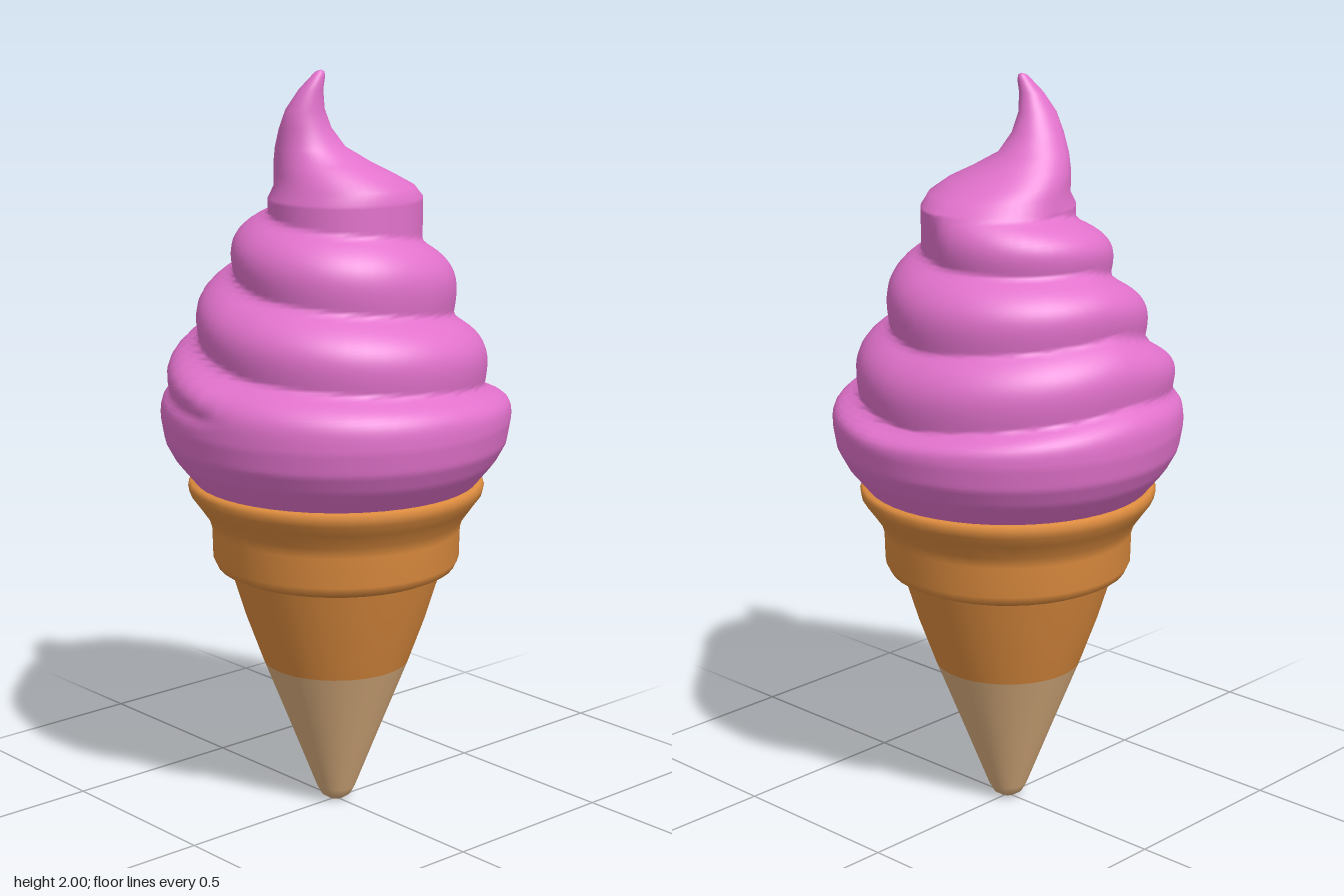
import * as THREE from 'three';

const orange = new THREE.MeshStandardMaterial({ color: 0xdc8b3e });
orange.name = 'wafer orange';
const tan = new THREE.MeshStandardMaterial({ color: 0xdaae7e });
tan.name = 'paper tan';
const pink = new THREE.MeshStandardMaterial({ color: 0xe272cc });
pink.name = 'ice cream pink';

function lathe(name, points, material) {
  const profile = points.map(([r, y]) => new THREE.Vector2(r, y));
  const mesh = new THREE.Mesh(new THREE.LatheGeometry(profile, 40), material);
  mesh.name = name;
  return mesh;
}

// Crease of the swirl as [y, radius], one entry per quarter turn going down,
// starting a quarter turn before the back (-z)
const CREASE = [
  [1.67, 0.23], [1.65, 0.168], [1.61, 0.185], [1.58, 0.21], [1.53, 0.24],
  [1.52, 0.265], [1.43, 0.27], [1.385, 0.285], [1.33, 0.33],
  [1.37, 0.355], [1.24, 0.365], [1.2, 0.385], [1.14, 0.40],
  [1.2, 0.415], [1.14, 0.455],
];

function creaseAt(turn) {
  const q = turn * 4 + 1;
  if (q < 0 || q > CREASE.length - 1) return null;
  const i = Math.min(Math.floor(q), CREASE.length - 2);
  const f = q - i;
  return [0, 1].map((k) => THREE.MathUtils.lerp(CREASE[i][k], CREASE[i + 1][k], f));
}

// Underside of the lowest roll
const FOOT = [[1.09, 0.465], [1.03, 0.455], [0.98, 0.428], [0.94, 0.395], [0.91, 0.37]];

// Radius of the swirl at a fraction of a turn and a height
function swirlRadius(p, y) {
  const steps = [p - 1, p, p + 1, p + 2, p + 3].map(creaseAt).filter(Boolean);
  const rolls = steps.length;
  steps.push(...FOOT);
  if (y >= steps[0][0]) return steps[0][1];
  for (let i = 0; i < steps.length - 1; i++) {
    const [y0, r0] = steps[i];
    const [y1, r1] = steps[i + 1];
    if (y < y1) continue;
    const t = (y0 - y) / (y0 - y1);
    if (i >= rolls) return r0 + (r1 - r0) * t;
    // each roll bulges out quickly below its crease
    const bulge = i < rolls - 1 ? 0.01 * Math.sin(Math.PI * t) : 0;
    return r0 + (r1 - r0) * (1 - (1 - t) ** 4) + bulge;
  }
  return FOOT[FOOT.length - 1][1];
}

// Cross-sections of the curled peak: [y, xMin, xMax, zMin, zMax]
const PEAK = [
  [2.0, -0.056, -0.056, 0.004, 0.004],
  [1.995, -0.07, -0.045, -0.008, 0.014],
  [1.98, -0.085, -0.043, -0.018, 0.018],
  [1.95, -0.11, -0.044, -0.04, 0.02],
  [1.9, -0.138, -0.03, -0.07, 0.02],
  [1.85, -0.145, -0.005, -0.10, 0.03],
  [1.8, -0.147, 0.035, -0.13, 0.055],
  [1.76, -0.155, 0.09, -0.15, 0.12],
  [1.73, -0.163, 0.14, -0.16, 0.175],
  [1.7, -0.172, 0.195, -0.165, 0.203],
];

function buildSwirl() {
  const columns = 48;
  const rows = 84;
  const positions = [];
  const index = [];
  const ring = (y, point) => {
    for (let j = 0; j < columns; j++) {
      const p = j / columns;
      const a = p * Math.PI * 2;
      const [x, z] = point(p, -Math.sin(a), -Math.cos(a));
      positions.push(x, y, z);
    }
  };
  for (const [y, x0, x1, z0, z1] of PEAK) {
    ring(y, (p, dx, dz) => [
      (x0 + x1) / 2 + dx * (x1 - x0) / 2,
      (z0 + z1) / 2 + dz * (z1 - z0) / 2,
    ]);
  }
  for (let i = 0; i <= rows; i++) {
    const y = THREE.MathUtils.lerp(1.67, 0.91, i / rows);
    ring(y, (p, dx, dz) => {
      const r = swirlRadius(p, y);
      return [dx * r, dz * r];
    });
  }
  ring(0.905, () => [0, 0]);

  const ringCount = positions.length / 3 / columns;
  for (let i = 0; i < ringCount - 1; i++) {
    for (let j = 0; j < columns; j++) {
      const a = i * columns + j;
      const b = i * columns + (j + 1) % columns;
      const c = a + columns;
      const d = b + columns;
      index.push(a, c, b, b, c, d);
    }
  }
  const geometry = new THREE.BufferGeometry();
  geometry.setAttribute('position', new THREE.Float32BufferAttribute(positions, 3));
  geometry.setIndex(index);
  geometry.computeVertexNormals();
  const mesh = new THREE.Mesh(geometry, pink);
  mesh.name = 'iceCreamSwirl';
  return mesh;
}

export function createModel() {
  const group = new THREE.Group();
  group.name = 'iceCreamCone';

  // Rounded tip, tapered body and flared collar of the cone
  group.add(lathe('coneTip', [
    [0, 0], [0.022, 0.004], [0.04, 0.016], [0.053, 0.04], [0.125, 0.225], [0.198, 0.41],
  ], tan));
  group.add(lathe('coneBody', [[0.198, 0.41], [0.245, 0.54], [0.285, 0.67]], orange));
  group.add(lathe('coneCollar', [
    [0.27, 0.668], [0.295, 0.67], [0.32, 0.682], [0.331, 0.705], [0.333, 0.785],
    [0.342, 0.815], [0.37, 0.855], [0.392, 0.885], [0.396, 0.905], [0.39, 0.918],
    [0.36, 0.92], [0, 0.9],
  ], orange));

  group.add(buildSwirl());
  return group;
}
